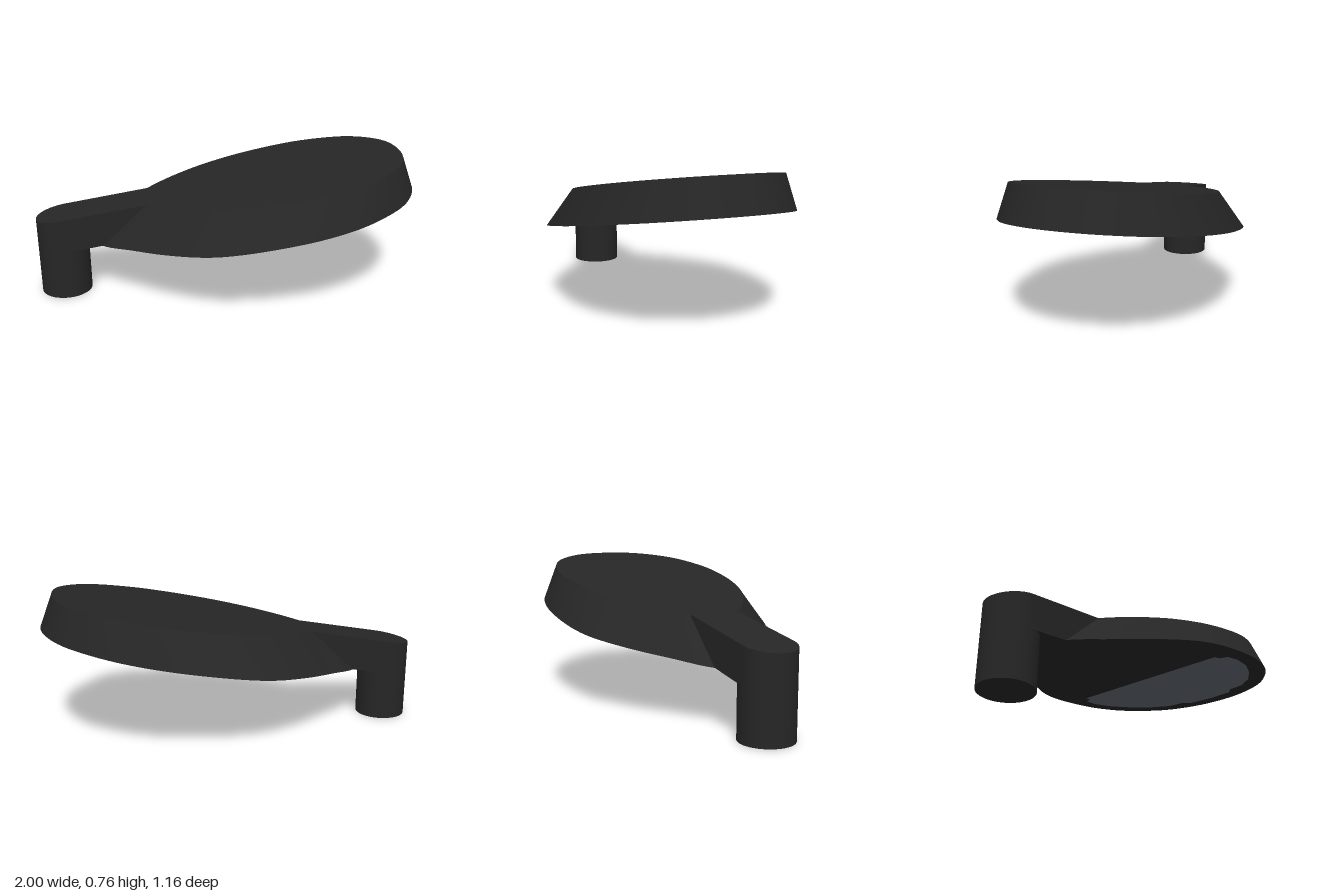
import * as THREE from 'three';
import { toCreasedNormals } from 'three/addons/utils/BufferGeometryUtils.js';

const SLOPE = 0.1763; // ten degree tilt of the lamp
const under = (x) => 0.414 + SLOPE * x;
const over = (x) => 0.595 + SLOPE * x;
const SEGMENTS = 144;

// Half outlines (x, z) from the nose round to the tail; entries are paired
const LOWER = [[1, 0], [0.975, 0.17], [0.885, 0.34], [0.74, 0.46], [0.6, 0.53], [0.42, 0.572], [0.25, 0.58],
  [0.05, 0.565], [-0.1, 0.525], [-0.3, 0.41], [-0.48, 0.27], [-0.64, 0.135], [-0.69, 0]];
const UPPER = [[0.935, 0], [0.915, 0.16], [0.85, 0.285], [0.75, 0.385], [0.65, 0.435], [0.5, 0.475], [0.37, 0.483],
  [0.18, 0.462], [0.02, 0.42], [-0.15, 0.345], [-0.32, 0.225], [-0.43, 0.105], [-0.465, 0]];
const LENS = [[0.885, 0], [0.87, 0.14], [0.815, 0.18], [0.8, 0.27], [0.715, 0.36], [0.6, 0.43], [0.46, 0.485],
  [0.33, 0.505], [0.24, 0.495], [0.22, 0.455], [0.18, 0.45]];

// Mirror a half outline into a closed list of points
function mirrored(half) {
  const back = half.filter((p) => p[1] > 0).reverse().map(([x, z]) => [x, -z]);
  return [...half, ...back].map(([x, z]) => new THREE.Vector2(x, z));
}

function smoothLoop(half) {
  const points = mirrored(half).map((p) => new THREE.Vector3(p.x, 0, p.y));
  const curve = new THREE.CatmullRomCurve3(points, true);
  return Array.from({ length: SEGMENTS }, (_, i) => {
    const p = curve.getPoint(i / SEGMENTS);
    return new THREE.Vector2(p.x, p.z);
  });
}

// Flat face lying on a tilted plane, looking up or down
function tiltedFace(points, height, up) {
  const geometry = new THREE.ShapeGeometry(new THREE.Shape(points));
  const pos = geometry.attributes.position;
  for (let i = 0; i < pos.count; i++) {
    const x = pos.getX(i), z = pos.getY(i);
    pos.setXYZ(i, x, height(x), up ? -z : z);
  }
  geometry.computeVertexNormals();
  return geometry;
}

// Sloping wall joining the lower and upper outlines
function wall(lower, upper) {
  const positions = [], index = [];
  for (let i = 0; i < SEGMENTS; i++) {
    const b = lower[i], t = upper[i];
    positions.push(b.x, under(b.x), b.y, t.x, over(t.x), t.y);
    const a = 2 * i, c = 2 * ((i + 1) % SEGMENTS);
    index.push(a, a + 1, c, c, a + 1, c + 1);
  }
  const geometry = new THREE.BufferGeometry();
  geometry.setAttribute('position', new THREE.Float32BufferAttribute(positions, 3));
  geometry.setIndex(index);
  geometry.computeVertexNormals();
  return geometry;
}

export function createModel() {
  const body = new THREE.MeshStandardMaterial({ color: 0x262626 });
  body.name = 'charcoal housing';
  const glass = new THREE.MeshStandardMaterial({ color: 0x606870 });
  glass.name = 'grey glass';

  const model = new THREE.Group();
  model.name = 'streetLampHead';
  const add = (name, geometry, material, parent = model) => {
    const mesh = new THREE.Mesh(geometry, material);
    mesh.name = name;
    parent.add(mesh);
    return mesh;
  };

  // Teardrop housing
  const housing = new THREE.Group();
  housing.name = 'housing';
  model.add(housing);
  const lower = smoothLoop(LOWER), upper = smoothLoop(UPPER);
  add('housingWall', wall(lower, upper), body, housing);
  add('housingTop', tiltedFace(upper, over, true), body, housing);
  add('housingUnderside', tiltedFace(lower, under, false), body, housing);

  // Lens just below the underside
  add('lens', tiltedFace(mirrored(LENS), (x) => under(x) - 0.004, false), glass);

  // Arm with a rounded end, sheared to follow the tilt
  const r = 0.135, postX = -0.865;
  const outline = new THREE.Shape();
  outline.moveTo(-0.405, -r);
  outline.lineTo(-0.405, r);
  outline.lineTo(postX, r);
  outline.absarc(postX, 0, r, Math.PI / 2, Math.PI * 1.5, false);
  let arm = new THREE.ExtrudeGeometry(outline, { depth: 0.181, bevelEnabled: false, curveSegments: 24 });
  arm.rotateX(-Math.PI / 2);
  const pos = arm.attributes.position;
  for (let i = 0; i < pos.count; i++) pos.setY(i, pos.getY(i) + under(pos.getX(i)));
  arm = toCreasedNormals(arm, 0.6);
  add('arm', arm, body);

  // Upright mounting post
  add('mountingPost', new THREE.CylinderGeometry(r, r, 0.3, 48), body).position.set(postX, 0.15, 0);

  return model;
}
